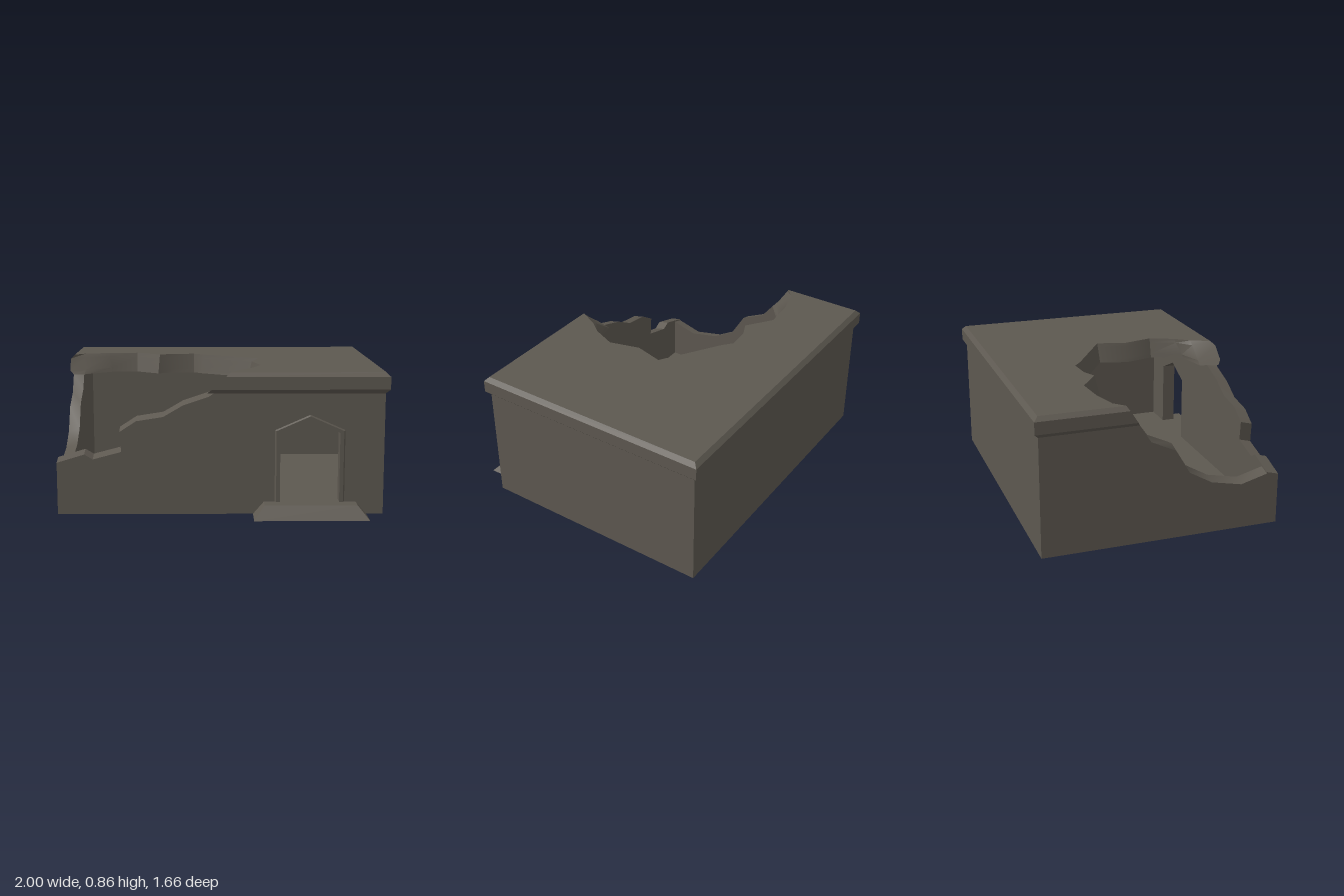
import * as THREE from 'three';
import { toCreasedNormals } from 'three/addons/utils/BufferGeometryUtils.js';

const stone = new THREE.MeshStandardMaterial({ color: 0x5d5850, side: THREE.DoubleSide });
stone.name = 'weathered stone';

// Joins counter-clockwise outlines [u, v] stacked along w, and caps both ends.
// With openBase, edges lying on v = 0 stay open.
function loft(loops, levels, openBase = false) {
  const n = loops[0].length, pos = [], idx = [];
  loops.forEach((loop, k) => loop.forEach(([u, v]) => pos.push(u, v, levels[k])));
  for (let k = 0; k < loops.length - 1; k++) {
    for (let i = 0; i < n; i++) {
      const j = (i + 1) % n;
      if (openBase && loops[k][i][1] === 0 && loops[k][j][1] === 0) continue;
      const a = k * n + i, b = k * n + j;
      idx.push(a, b, b + n, a, b + n, a + n);
    }
  }
  const cap = (k, flip) => {
    const pts = loops[k].map(([u, v]) => new THREE.Vector2(u, v));
    for (const [a, b, c] of THREE.ShapeUtils.triangulateShape(pts, [])) {
      const o = k * n;
      idx.push(o + a, o + (flip ? c : b), o + (flip ? b : c));
    }
  };
  cap(0, true);
  cap(loops.length - 1, false);
  const g = new THREE.BufferGeometry();
  g.setAttribute('position', new THREE.Float32BufferAttribute(pos, 3));
  g.setIndex(idx);
  return toCreasedNormals(g, 0.6);
}

const rect = (u0, u1, v0, v1) => [[u0, v0], [u1, v0], [u1, v1], [u0, v1]];
// Pointed arch opening, walked from its left foot to its right foot
const arch = (x0, x1, foot, shoulder, apex) =>
  [[x0, foot], [x0, shoulder], [(x0 + x1) / 2, apex], [x1, shoulder], [x1, foot]];
const raise = (pts, d) => pts.map(([u, v]) => [u, v + d]);

export function createModel() {
  const model = new THREE.Group();
  const add = (name, geometry) => {
    const mesh = new THREE.Mesh(geometry, stone);
    mesh.name = name;
    model.add(mesh);
    return mesh;
  };
  const H = 0.73, floorY = 0.075;

  // Front wall with doorway and crumbled top
  const frontBreak = [[-0.07, H - 0.02], [-0.22, 0.66], [-0.34, 0.59], [-0.5, 0.565], [-0.6, 0.5],
    [-0.59, 0.38], [-0.76, 0.335], [-0.81, 0.365], [-0.975, 0.315]];
  const frontOutline = (d) => [[-0.975, 0], ...arch(0.355, 0.71, 0, 0.495, 0.575),
    [0.975, 0], [0.975, H], [-0.04, H], ...raise(frontBreak, d)];
  add('frontWall', loft([frontOutline(0.02), frontOutline(0)], [0.585, 0.66], true));

  // Left wall with crumbled top, drawn in (z, y)
  const leftBreak = [[0.42, 0.28], [0.23, 0.32], [0.09, 0.4], [0, 0.55], [-0.15, 0.62]];
  const leftOutline = (d) => [[-0.73, 0], [0.585, 0], [0.585, 0.325 + d],
    ...raise(leftBreak, d), [-0.22, H], [-0.73, H]];
  add('brokenSideWall', loft([leftOutline(0.02), leftOutline(0)], [0.905, 0.975], true))
    .rotation.y = -Math.PI / 2;

  // Whole walls
  const back = rect(-0.975, 0.975, 0, H);
  add('backWall', loft([back, back], [-0.805, -0.73], true));
  const side = rect(-0.585, 0.73, 0, H);
  add('sideWall', loft([side, side], [0.905, 0.975], true)).rotation.y = Math.PI / 2;

  // Floor and door threshold
  const floor = add('floor', new THREE.PlaneGeometry(1.81, 1.315));
  floor.rotation.x = -Math.PI / 2;
  floor.position.set(0, floorY, -0.0725);
  const threshold = add('threshold', new THREE.PlaneGeometry(0.355, 0.075));
  threshold.rotation.x = -Math.PI / 2;
  threshold.position.set(0.5325, floorY, 0.6225);

  // Roof slab with chamfered cornice; the broken edge leans outward going up, in (x, z)
  const lowBreak = [[-0.9, -0.23], [-0.73, -0.365], [-0.56, -0.38], [-0.41, -0.27],
    [-0.31, -0.32], [-0.17, -0.33], [-0.12, -0.28], [0.225, -0.06], [0.175, 0.11],
    [0.225, 0.3], [0.13, 0.5], [-0.05, 0.54]];
  const highBreak = [[-0.91, -0.36], [-0.75, -0.4], [-0.56, -0.415], [-0.4, -0.3],
    [-0.31, -0.34], [-0.17, -0.35], [-0.11, -0.3], [0.255, -0.07], [0.205, 0.11],
    [0.255, 0.3], [0.19, 0.45], [0.12, 0.54]];
  const lerp = THREE.MathUtils.lerp;
  const roofOutline = (t, e) => [
    [0.975 + e, -0.66 - e], [0.975 + e, 0.805 + e], [-0.975 - e, 0.805 + e],
    [-0.975 - e, lerp(0.22, 0.3, t)],
    ...lowBreak.map(([x, z], i) => [lerp(x, highBreak[i][0], t), -lerp(z, highBreak[i][1], t)]),
    [lerp(-0.08, 0.06, t), -0.66 - e]];
  add('roof', loft(
    [roofOutline(0, 0), roofOutline(0.2, 0.025), roofOutline(0.8, 0.025), roofOutline(1, 0)],
    [H, 0.755, 0.83, 0.855])).rotation.x = -Math.PI / 2;

  // Raised door surround, bevelled toward its front
  const surround = (inset) => [...arch(0.355, 0.71, floorY, 0.495, 0.575),
    ...arch(0.32 + inset, 0.745 - inset, floorY, 0.512 - inset / 2, 0.606 - inset).reverse()].reverse();
  add('doorSurround', loft([surround(0), surround(0.012)], [0.655, 0.671]));

  // Sloped doorstep
  add('doorstep', loft([rect(0.195, 0.875, -0.83, -0.66), rect(0.26, 0.81, -0.755, -0.66)],
    [0, floorY])).rotation.x = -Math.PI / 2;

  return model;
}
